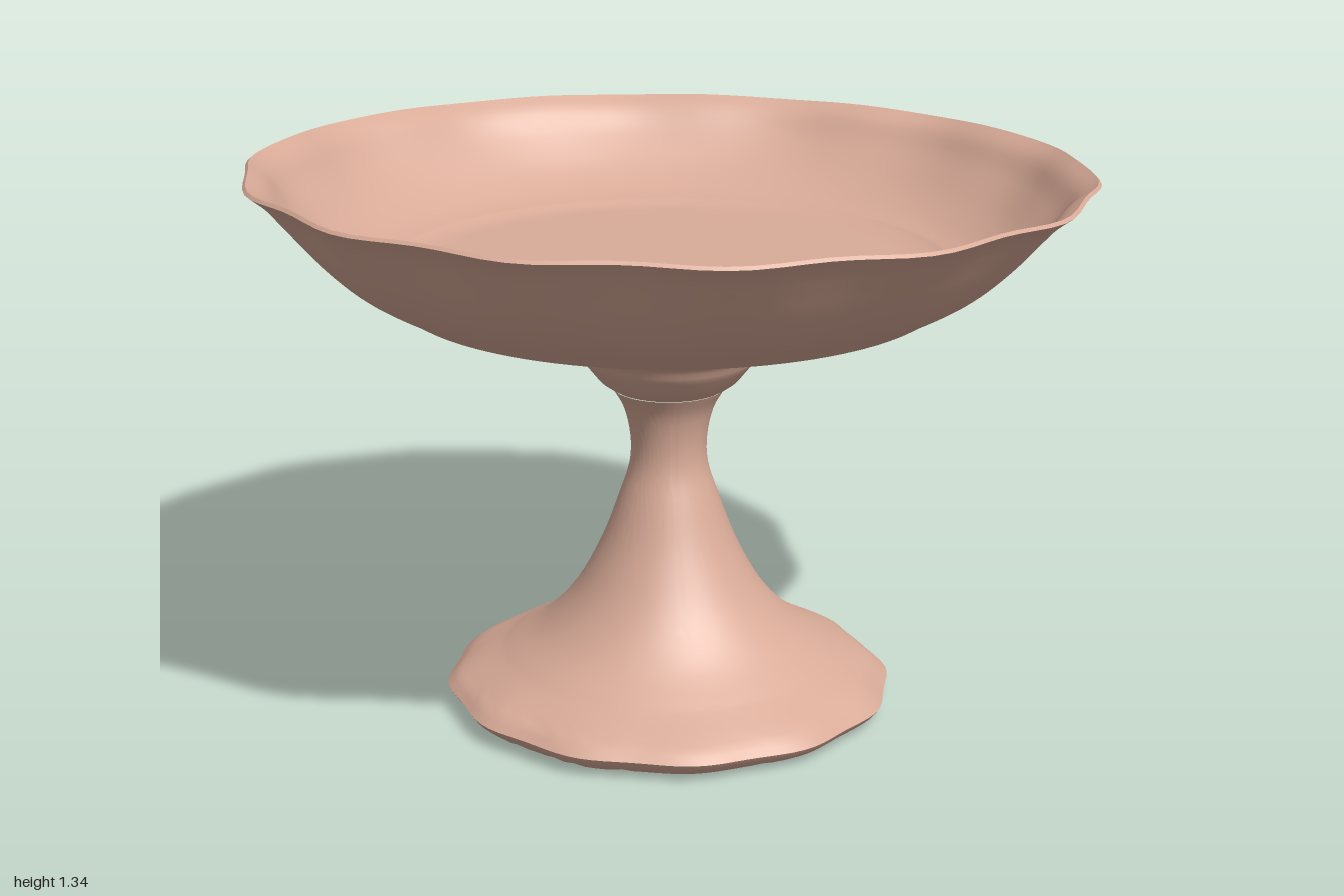
import * as THREE from 'three';
import { toCreasedNormals } from 'three/addons/utils/BufferGeometryUtils.js';

const clay = new THREE.MeshStandardMaterial({ color: 0xd9ab98 });
clay.name = 'pale clay';

// Smooth run of profile points (radius, height)
function run(points, n) {
  return new THREE.SplineCurve(points.map(([r, y]) => new THREE.Vector2(r, y)))
    .getPoints(n)
    .map((p) => new THREE.Vector2(Math.max(0, p.x), Math.max(0, p.y)));
}

// Joins runs, dropping the doubled point where two meet
function join(...runs) {
  return runs.reduce((all, r) => all.concat(all.length ? r.slice(1) : r), []);
}

// Turned part whose vertices are then nudged by a rule
function turned(name, profile, rule) {
  const geo = new THREE.LatheGeometry(profile, 112);
  const pos = geo.attributes.position;
  const v = new THREE.Vector3();
  for (let i = 0; i < pos.count; i++) {
    v.fromBufferAttribute(pos, i);
    rule(v, Math.hypot(v.x, v.z), Math.atan2(v.z, v.x));
    pos.setXYZ(i, v.x, v.y, v.z);
  }
  const mesh = new THREE.Mesh(toCreasedNormals(geo, 0.6), clay);
  mesh.name = name;
  return mesh;
}

export function createModel() {
  const model = new THREE.Group();
  model.name = 'footedBowl';

  // Hollow flared foot rising into the narrow stem
  const foot = join(
    run([[0, 0.2], [0.15, 0.18], [0.3, 0.11], [0.41, 0.04], [0.46, 0.012]], 14),
    run([[0.46, 0.012], [0.5, 0.006]], 1),
    run([[0.5, 0.006], [0.525, 0.02], [0.54, 0.04]], 3),
    run([[0.54, 0.04], [0.5, 0.075], [0.43, 0.112], [0.395, 0.132], [0.31, 0.19], [0.23, 0.28],
      [0.165, 0.4], [0.12, 0.52], [0.095, 0.6], [0.093, 0.67], [0.108, 0.74], [0.135, 0.79]], 44)
  );
  model.add(turned('footAndStem', foot, (v, r, a) => {
    // Faint scalloping of the foot edge
    const t = THREE.MathUtils.smoothstep(r, 0.4, 0.54);
    const k = 1 + 0.012 * t * Math.cos(12 * a);
    v.x = v.x * k - 0.004;
    v.z = v.z * k + 0.01;
    v.y += 0.012 * t * (v.z - v.x) * (r > 0.5 ? 1 : 0.5);
    v.y = Math.max(0, v.y);
  }));

  // Stepped collar under the bowl
  const collar = join(
    run([[0.135, 0.79], [0.165, 0.81], [0.19, 0.84]], 4),
    run([[0.19, 0.84], [0.207, 0.862], [0.222, 0.89], [0.27, 0.92], [0.33, 0.933]], 10),
    run([[0.33, 0.933], [0.355, 0.938]], 1),
    run([[0.355, 0.938], [0.37, 0.965]], 1)
  );
  model.add(turned('collar', collar, (v) => {
    v.x -= 0.003;
    v.z += 0.006;
  }));

  // Wide shallow bowl with a wavy, slightly tilted rim
  const bowl = join(
    run([[0.3, 0.955], [0.37, 0.96]], 1),
    run([[0.37, 0.96], [0.45, 0.97], [0.56, 0.995], [0.645, 1.02]], 8),
    run([[0.645, 1.02], [0.665, 1.033]], 1),
    run([[0.665, 1.033], [0.76, 1.088], [0.84, 1.16], [0.91, 1.24], [0.95, 1.285], [0.99, 1.317]], 22),
    run([[0.99, 1.317], [0.983, 1.324]], 1),
    run([[0.983, 1.324], [0.94, 1.293], [0.89, 1.23], [0.81, 1.155], [0.73, 1.11], [0.665, 1.092]], 22),
    run([[0.665, 1.092], [0.65, 1.084]], 1),
    run([[0.65, 1.084], [0.35, 1.084], [0, 1.084]], 6)
  );
  model.add(turned('bowl', bowl, (v, r, a) => {
    const t = THREE.MathUtils.smoothstep(r, 0.78, 0.99);
    const wave = Math.cos(14 * (a + 1.36));
    const k = 1 - 0.009 * t * wave;
    v.x *= k;
    v.z *= k;
    v.y += t * (0.013 * (v.z - v.x) + 0.003 * wave);
  }));

  return model;
}
